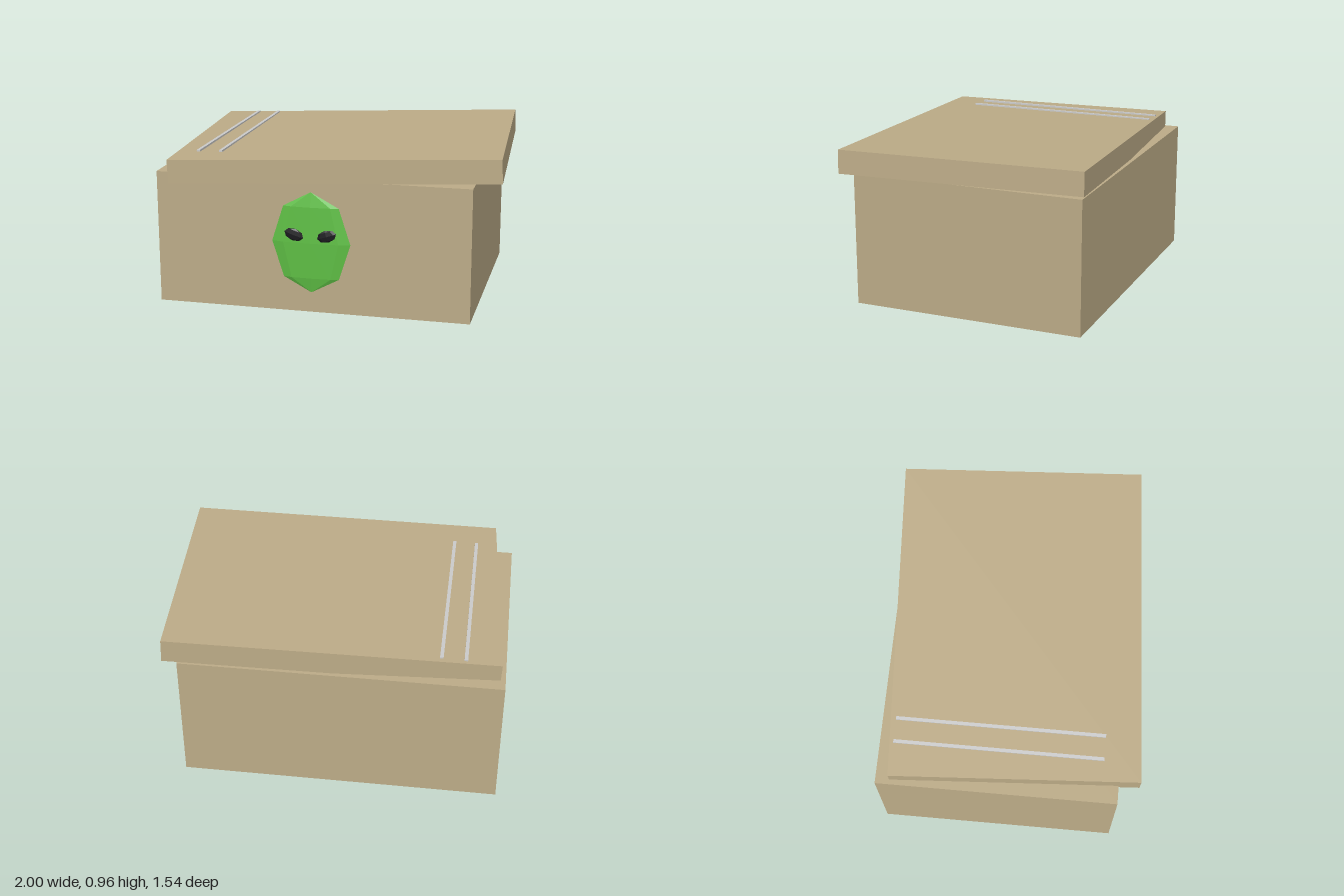
import * as THREE from 'three';

const paint = (color) => new THREE.MeshStandardMaterial({ color, flatShading: true });

function addMesh(parent, name, geometry, material, x, y, z) {
  const mesh = new THREE.Mesh(geometry, material);
  mesh.name = name;
  mesh.position.set(x, y, z);
  parent.add(mesh);
  return mesh;
}

export function createModel() {
  const model = new THREE.Group();
  model.name = 'cardboardBox';
  const card = paint(0xbdac88);
  const green = paint(0x5fc045);
  const black = paint(0x1c1c20);
  const grey = paint(0xcccccc);

  // Box body
  addMesh(model, 'boxBody', new THREE.BoxGeometry(1.84, 0.785, 1.38), card, -0.08, 0.3925, -0.045);

  // Lid, set on askew: tilted up to one side, then turned
  const lid = addMesh(model, 'lid', new THREE.BoxGeometry(1.89, 0.137, 1.423), card, 0.0125, 0.854, -0.0025);
  lid.rotation.set(0, 0.061, 0.0395, 'YZX');

  // Two thin strips lying on the lid
  for (const [x, y] of [[-0.775, 0.891], [-0.64, 0.8955]]) {
    const strip = addMesh(model, 'strip', new THREE.BoxGeometry(0.02, 0.02, 1.195), grey, x, y, -0.0475);
    strip.rotation.z = 0.0395;
  }

  // Flattened low-poly head on the front
  const ball = new THREE.SphereGeometry(1, 8, 4);
  const head = addMesh(model, 'head', ball, green, -0.08, 0.416, 0.645);
  head.scale.set(0.23, 0.298, 0.02);

  // Slanted eyes
  for (const side of [-1, 1]) {
    const eye = addMesh(model, 'eye', ball, black, -0.08 + side * 0.096, 0.464, 0.664);
    eye.scale.set(0.058, 0.036, 0.011);
    eye.rotation.z = side * 0.32;
  }
  return model;
}
